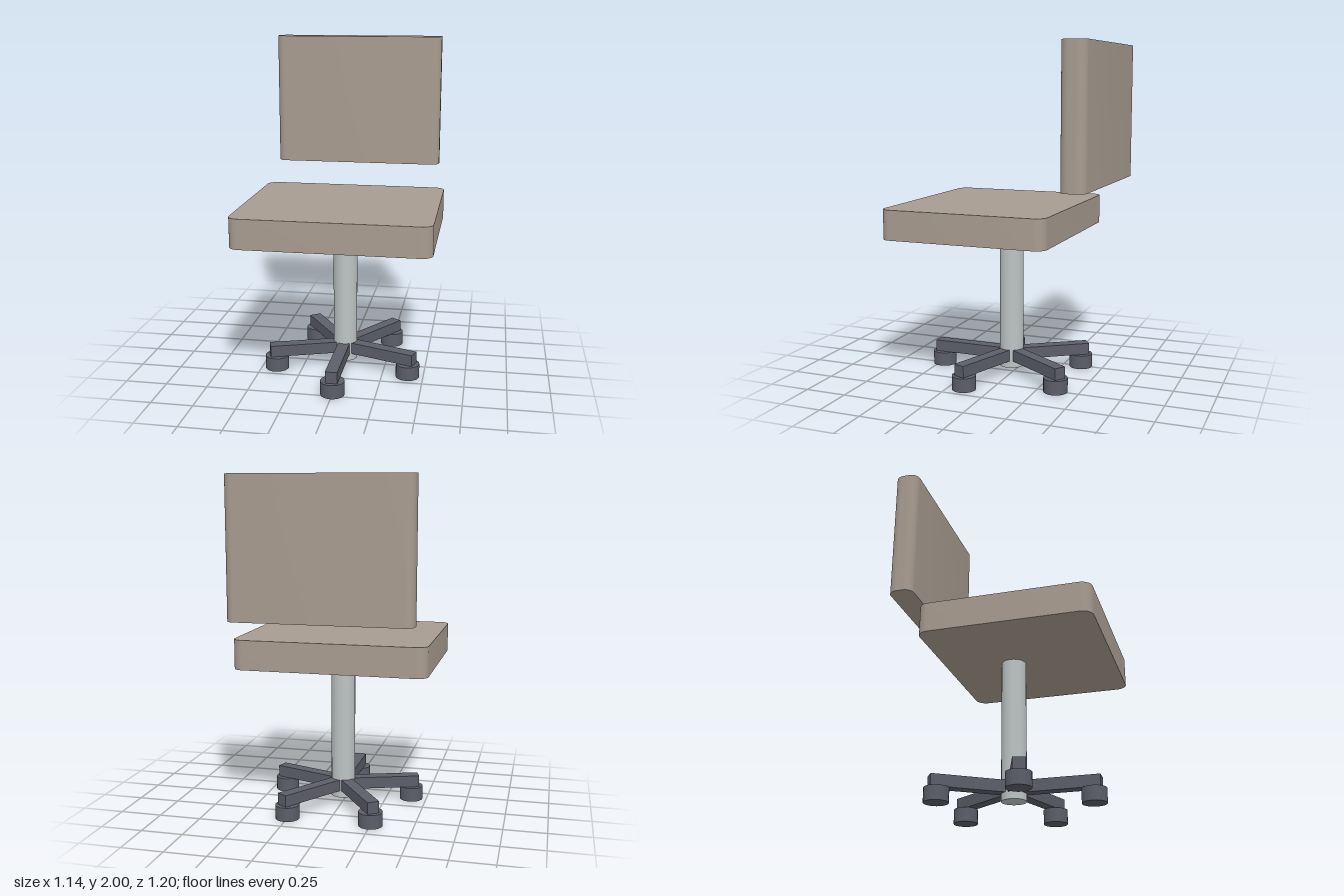
import * as THREE from 'three';
import { toCreasedNormals } from 'three/addons/utils/BufferGeometryUtils.js';

const fabric = new THREE.MeshStandardMaterial({ name: 'taupeFabric', color: 0xa89c90 });
const metal = new THREE.MeshStandardMaterial({ name: 'paleMetal', color: 0xbdc4c4 });
const plastic = new THREE.MeshStandardMaterial({ name: 'darkPlastic', color: 0x5c5e69 });

// Upright slab with rounded vertical edges, base at y = 0
function cushionGeometry(width, depth, height, r) {
  const x = width / 2, y = depth / 2;
  const s = new THREE.Shape();
  s.absarc(x - r, y - r, r, 0, Math.PI / 2);
  s.absarc(-x + r, y - r, r, Math.PI / 2, Math.PI);
  s.absarc(-x + r, -y + r, r, Math.PI, Math.PI * 1.5);
  s.absarc(x - r, -y + r, r, Math.PI * 1.5, Math.PI * 2);
  const g = new THREE.ExtrudeGeometry(s, { depth: height, bevelEnabled: false, curveSegments: 8 });
  return toCreasedNormals(g.rotateX(-Math.PI / 2), 0.6);
}

function addMesh(parent, name, geometry, material, x, y, z) {
  const mesh = new THREE.Mesh(geometry, material);
  mesh.name = name;
  mesh.position.set(x, y, z);
  parent.add(mesh);
  return mesh;
}

export function createModel() {
  const chair = new THREE.Group();
  chair.name = 'swivelChair';

  // Cushions
  addMesh(chair, 'seat', cushionGeometry(1.14, 0.994, 0.176, 0.065), fabric, 0, 0.884, 0.103);
  addMesh(chair, 'backrest', cushionGeometry(1.05, 0.146, 0.805, 0.053), fabric, 0, 1.195, -0.53);

  // Central column
  const axisZ = 0.01;
  addMesh(chair, 'column', new THREE.CylinderGeometry(0.073, 0.073, 0.842, 24), metal, 0, 0.463, axisZ);

  // Five-legged base, slightly longer front to back
  const base = new THREE.Group();
  base.name = 'starBase';
  base.position.z = axisZ;
  chair.add(base);
  const casterGeometry = new THREE.CylinderGeometry(0.0715, 0.0715, 0.084, 20);
  const inner = 0.062;
  for (let i = 0; i < 5; i++) {
    const a = (i * Math.PI * 2) / 5;
    const x = 0.426 * Math.sin(a), z = 0.458 * Math.cos(a);
    const outer = Math.hypot(x, z) + 0.043;
    const heading = Math.atan2(x, z);
    const mid = (inner + outer) / 2;
    const leg = addMesh(base, 'leg', new THREE.BoxGeometry(0.072, 0.07, outer - inner), plastic,
      Math.sin(heading) * mid, 0.119, Math.cos(heading) * mid);
    leg.rotation.y = heading;
    addMesh(base, 'caster', casterGeometry, plastic, x, 0.042, z);
  }
  return chair;
}
